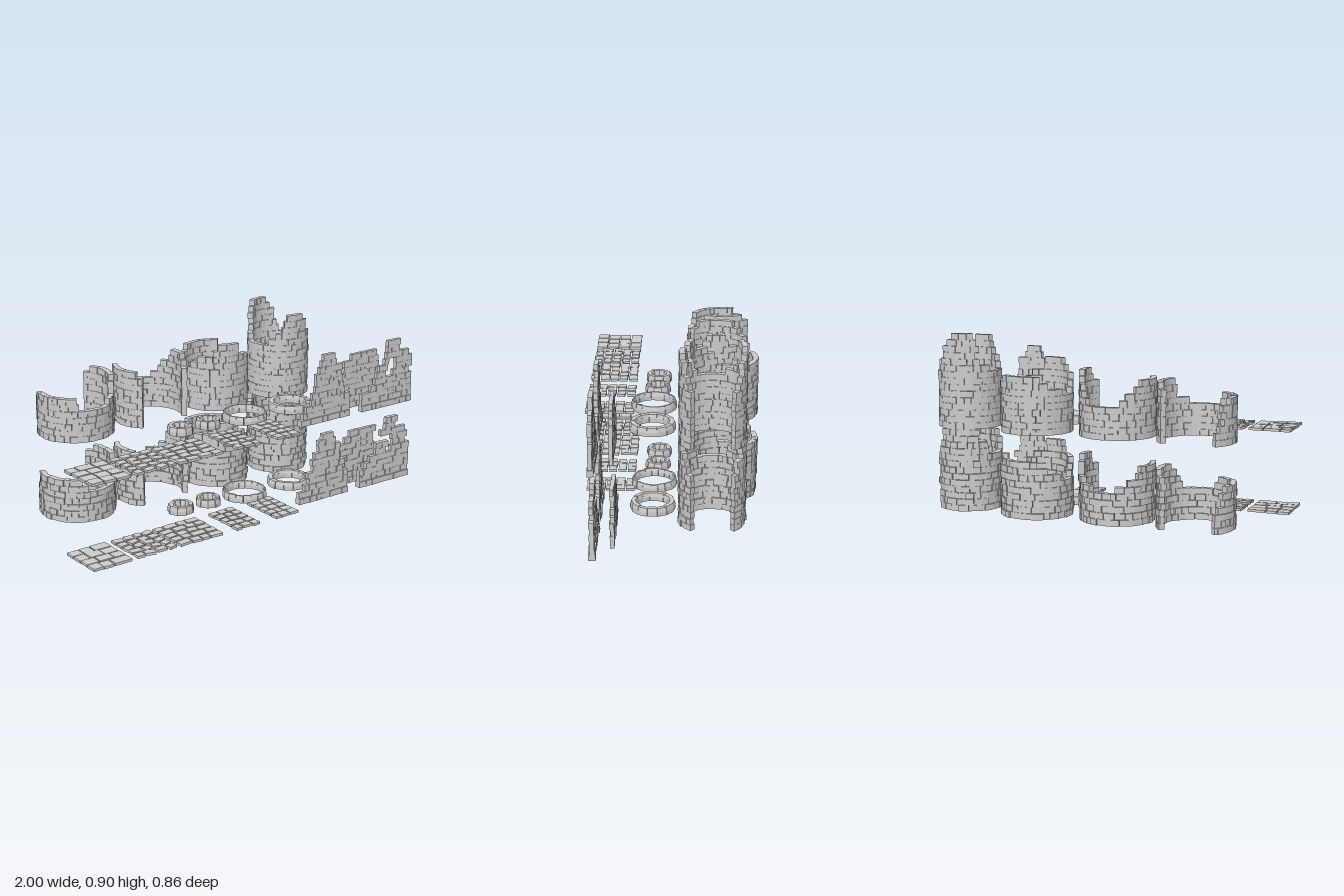
import * as THREE from 'three';
import { mergeGeometries } from 'three/addons/utils/BufferGeometryUtils.js';

const ROW = 0.0317; // height of one stone course
const BASE = 0.008;

export function createModel() {
  const model = new THREE.Group();
  const mat = new THREE.MeshStandardMaterial({ color: 0xcccccc });
  const rad = THREE.MathUtils.degToRad;

  let seed = 7;
  const rand = () => {
    seed = (seed * 16807) % 2147483647;
    return seed / 2147483647;
  };
  const vary = (a) => (rand() * 2 - 1) * a;

  // Piecewise linear skyline through [position, height] points
  const skyline = (pts) => (s) => {
    for (let i = 1; i < pts.length; i++) {
      const [a, ha] = pts[i - 1], [b, hb] = pts[i];
      if (s <= b) return ha + (hb - ha) * Math.max(0, (s - a) / (b - a));
    }
    return pts[pts.length - 1][1];
  };

  const addMesh = (parent, name, geos, x, z) => {
    const mesh = new THREE.Mesh(mergeGeometries(geos), mat);
    mesh.name = name;
    mesh.position.set(x, 0, z);
    parent.add(mesh);
  };

  // Wedge stone bent around the y axis, with optional narrowing at the top
  const wedge = (mid, span, y, h, r0, r1, inset = 0) => {
    const g = new THREE.BoxGeometry(1, 1, 1);
    const p = g.attributes.position;
    for (let i = 0; i < p.count; i++) {
      const top = p.getY(i) > 0 ? inset : 0;
      const t = mid - p.getX(i) * span;
      const r = p.getZ(i) > 0 ? r1 - top : r0 + top;
      p.setXYZ(i, Math.cos(t) * r, y + (p.getY(i) + 0.5) * h, Math.sin(t) * r);
    }
    g.computeVertexNormals();
    return g;
  };

  // Lay staggered courses from s0 to s1 wherever the skyline allows a stone
  const layCourses = (s0, s1, stone, height, place) => {
    for (let row = 0; row < 15; row++) {
      const y = BASE + row * ROW;
      let s = s0;
      while (s < s1 - stone * 0.15) {
        let w = stone * (0.65 + rand() * 0.65);
        if (s === s0 && row % 2) w *= 0.6;
        if (s1 - s - w < stone * 0.4) w = s1 - s;
        const mid = s + w / 2;
        if (y + ROW / 2 < height(mid, y + ROW / 2)) place(mid, w, y);
        s += w;
      }
    }
  };

  // Broken round towers: centre, outer radius, skyline by angle in degrees
  const towers = [
    [-0.66, -0.267, 0.192, [[-44, 0.24], [-25, 0.29], [25, 0.29], [40, 0.21], [60, 0.17],
      [103, 0.15], [110, 0.18], [116, 0.215], [205, 0.215], [226, 0.06]]],
    [-0.246, -0.227, 0.19, [[-225, 0.25], [-200, 0.29], [-150, 0.29], [-130, 0.22], [-110, 0.18],
      [-80, 0.15], [-60, 0.18], [-30, 0.26], [-10, 0.32], [15, 0.32], [35, 0.22]]],
    [0.17, -0.25, 0.182, [[48, 0.26], [76, 0.29], [80, 0.345], [123, 0.345], [128, 0.28], [155, 0.28],
      [180, 0.2], [215, 0.22], [250, 0.29], [300, 0.29], [347, 0.26]]],
    [0.556, -0.206, 0.163, [[40, 0.26], [60, 0.38], [78, 0.46], [102, 0.46], [125, 0.37], [150, 0.3],
      [210, 0.3], [232, 0.4], [246, 0.49], [279, 0.49], [297, 0.4], [320, 0.26]]],
  ];

  // Straight ruined walls: depth position, thickness, skyline by x
  const walls = [
    [0.343, 0.02, [[0.26, 0.045], [0.31, 0.1], [0.36, 0.22], [0.405, 0.36], [0.48, 0.36],
      [0.51, 0.27], [0.55, 0.16], [0.58, 0.1]]],
    [0.257, 0.018, [[0.53, 0.12], [0.61, 0.23], [0.68, 0.285], [0.83, 0.285], [0.87, 0.1]]],
    [0.343, 0.02, [[0.66, 0.08], [0.74, 0.15], [0.81, 0.25], [0.835, 0.345], [0.91, 0.345],
      [0.92, 0.285], [0.975, 0.285], [0.985, 0.16], [1, 0.16]]],
  ];

  // Stone rings: x, z, inner radius, outer radius, stone count
  const rings = [
    [-0.265, 0.066, 0.036, 0.066, 9],
    [-0.1, 0.068, 0.038, 0.064, 10],
    [0.12, 0.082, 0.096, 0.114, 18],
    [0.41, 0.082, 0.08, 0.112, 14],
  ];

  // Paving patches: x from, x to, columns, rows, looseness
  const patches = [
    [-1, -0.785, 3, 4, 0.02],
    [-0.76, -0.53, 4, 5, 0.25],
    [-0.52, -0.26, 4, 5, 0.12],
    [-0.185, -0.035, 3, 5, 0.15],
    [0.06, 0.205, 3, 5, 0.07],
  ];

  const buildSet = (name, rough) => {
    const set = new THREE.Group();
    set.name = name;

    towers.forEach(([x, z, R, pts], i) => {
      const geos = [];
      const s0 = rad(pts[0][0]), s1 = rad(pts[pts.length - 1][0]);
      const sky = skyline(pts);
      layCourses(s0, s1, 0.042 / R, (s) => sky(THREE.MathUtils.radToDeg(s)), (mid, w, y) => {
        const out = R - 0.002 + vary(rough);
        geos.push(wedge(mid, w - 0.006, y, ROW - 0.0005 - rand() * rough * 0.3, out - 0.028, out));
      });
      addMesh(set, 'roundTowerRuin' + (i + 1), geos, x, z);
    });

    walls.forEach(([z, depth, pts], i) => {
      const geos = [];
      const sky = skyline(pts);
      const height = (x, y) => // last wall has a window opening
        i === 2 && x > 0.835 && x < 0.885 && y > 0.18 && y < 0.25 ? 0 : sky(x);
      layCourses(pts[0][0], pts[pts.length - 1][0], 0.036, height, (mid, w, y) => {
        const foot = i !== 1 && y < 0.03 ? 0.01 : 0;
        const g = new THREE.BoxGeometry(w - 0.001, ROW - 0.0005, depth + foot + rand() * rough);
        if (i !== 1) g.rotateY(vary(0.05));
        geos.push(g.translate(mid, y + ROW / 2, vary(rough * 0.5)));
      });
      addMesh(set, 'straightWallRuin' + (i + 1), geos, 0, z);
    });

    rings.forEach(([x, z, r0, r1, count], i) => {
      const geos = [];
      const step = (Math.PI * 2) / count;
      for (let k = 0; k < count; k++) {
        const shift = vary(rough * 0.6);
        const y = BASE, h = 0.043 - rand() * rough;
        const half = h / 2;
        geos.push(wedge(k * step, step * 0.97, y, half, r0, r1 + shift));
        geos.push(wedge(k * step, step * 0.97, y + half, half, r0, r1 + shift, 0.005));
      }
      addMesh(set, 'stoneRing' + (i + 1), geos, x, z);
    });

    patches.forEach(([x0, x1, cols, rows, loose], i) => {
      const geos = [];
      const cz = 0.245 / rows;
      for (let r = 0; r < rows; r++) {
        // uneven column widths in every row
        const widths = Array.from({ length: cols }, () => 0.7 + rand() * 0.6);
        const total = widths.reduce((a, b) => a + b, 0);
        let x = x0;
        for (const part of widths) {
          const w = (part / total) * (x1 - x0);
          const fit = 0.94 - loose * 0.5;
          const g = new THREE.BoxGeometry(w * fit, 0.013, cz * fit * (0.92 + rand() * 0.1));
          g.rotateY(vary(loose * 1.2));
          geos.push(g.translate(x + w / 2, 0.0065 + rand() * 0.004, 0.178 + (r + 0.5) * cz));
          x += w;
        }
      }
      // one stone sits exactly on the ground
      geos[0].computeBoundingBox();
      geos[0].translate(0, -geos[0].boundingBox.min.y, 0);
      addMesh(set, 'pavingPatch' + (i + 1), geos, 0, 0);
    });
    return set;
  };

  // Two stacked sets, the lower one with rougher stones
  const lower = buildSet('roughStoneSet', 0.005);
  const upper = buildSet('cleanStoneSet', 0.002);
  upper.position.y = 0.415;
  model.add(lower, upper);
  return model;
}
